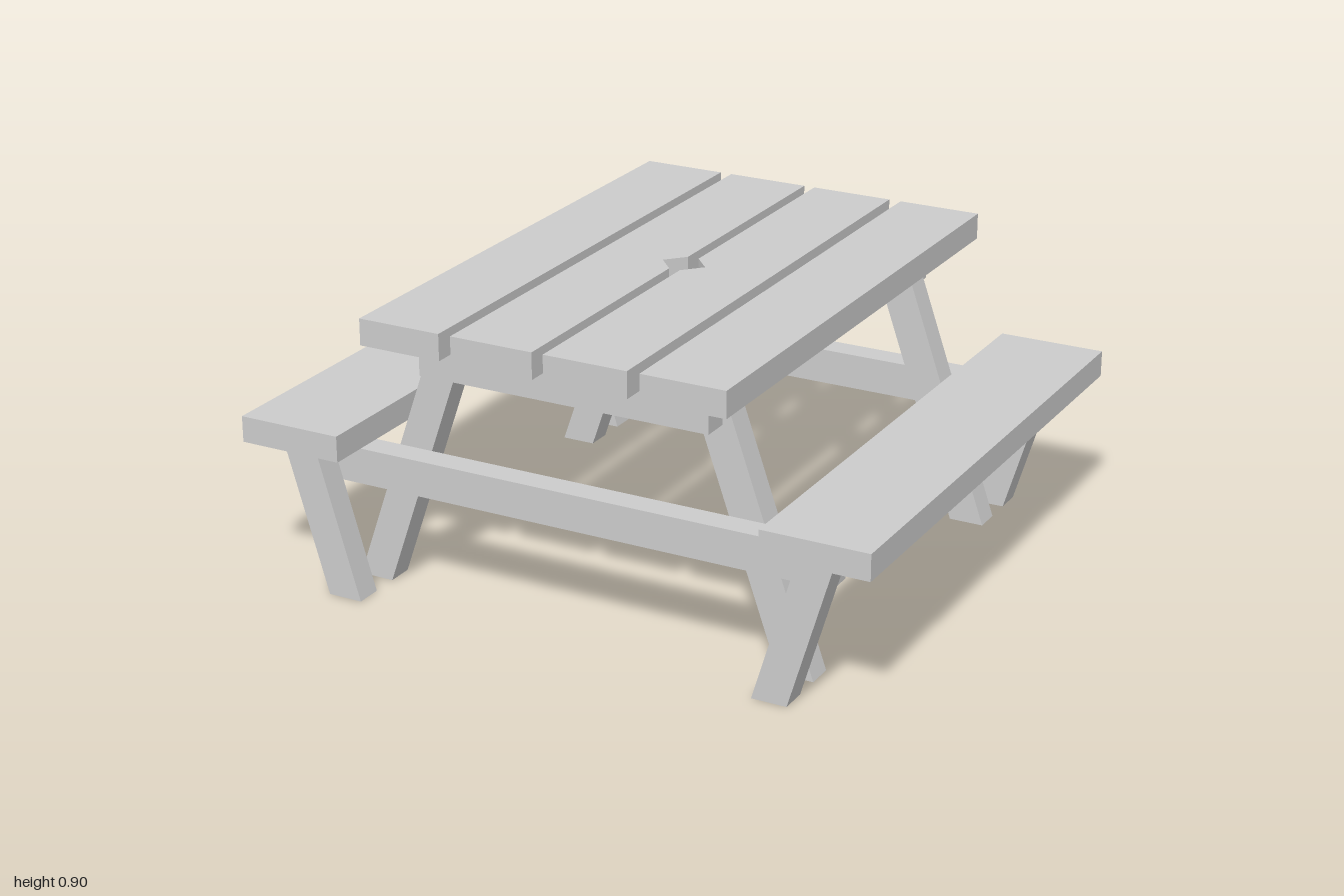
import * as THREE from 'three';

const material = new THREE.MeshStandardMaterial({ color: 0xcccccc, flatShading: true });

function createBox(name, x0, x1, y0, y1, z0, z1) {
  const mesh = new THREE.Mesh(new THREE.BoxGeometry(x1 - x0, y1 - y0, z1 - z0), material);
  mesh.position.set((x0 + x1) / 2, (y0 + y1) / 2, (z0 + z1) / 2);
  mesh.name = name;
  return mesh;
}

// Straight-sided outline extruded along z from z0 to z1
function createPrism(name, points, z0, z1) {
  const shape = new THREE.Shape(points.map(([x, y]) => new THREE.Vector2(x, y)));
  const geometry = new THREE.ExtrudeGeometry(shape, { depth: z1 - z0, bevelEnabled: false });
  const mesh = new THREE.Mesh(geometry, material);
  mesh.position.z = z0;
  mesh.name = name;
  return mesh;
}

// Slanted leg with level ends; s mirrors it in x, e in z
function createLeg(name, s, e, footX, topX, width, height, zNear, zFar) {
  const points = [[footX, 0], [footX + width, 0], [topX + width, height], [topX, height]]
    .map(([x, y]) => [s * x, y]);
  return createPrism(name, points, Math.min(e * zNear, e * zFar), Math.max(e * zNear, e * zFar));
}

// Inner table plank with a triangular notch for the parasol hole
function createNotchedPlank(s) {
  const a = 0.0175, b = 0.277, half = 0.835;
  const points = [[a, -half], [b, -half], [b, half], [a, half], [a, 0.058], [0.07, 0], [a, -0.058]]
    .map(([x, z]) => [s * x, z]);
  const plank = createPrism('innerTopPlank', points, 0, 0.08);
  plank.rotation.x = -Math.PI / 2;
  plank.position.y = 0.82;
  return plank;
}

export function createModel() {
  const group = new THREE.Group();
  group.name = 'picnicTable';

  for (const s of [-1, 1]) {
    // Table top and bench
    const outer = createBox('outerTopPlank', -0.13, 0.13, 0.82, 0.9, -0.835, 0.835);
    outer.position.x = s * 0.445;
    const bench = createBox('benchSeat', -0.164, 0.164, 0.445, 0.525, -0.835, 0.835);
    bench.position.x = s * 0.836;
    group.add(createNotchedPlank(s), outer, bench);

    // Long legs carry the top, short legs carry the bench
    for (const e of [-1, 1]) {
      group.add(createLeg('tableLeg', s, e, 0.637, 0.35, 0.108, 0.82, 0.553, 0.635));
      group.add(createLeg('benchLeg', s, e, 0.637, 0.77, 0.108, 0.445, 0.717, 0.8));
    }
  }

  // Cross beams at both ends
  for (const e of [-1, 1]) {
    const upper = createBox('topCrossBeam', -0.46, 0.46, 0.71, 0.82, -0.041, 0.041);
    const lower = createBox('benchCrossBeam', -0.835, 0.835, 0.335, 0.445, -0.041, 0.041);
    upper.position.z = lower.position.z = e * 0.676;
    group.add(upper, lower);
  }
  return group;
}
